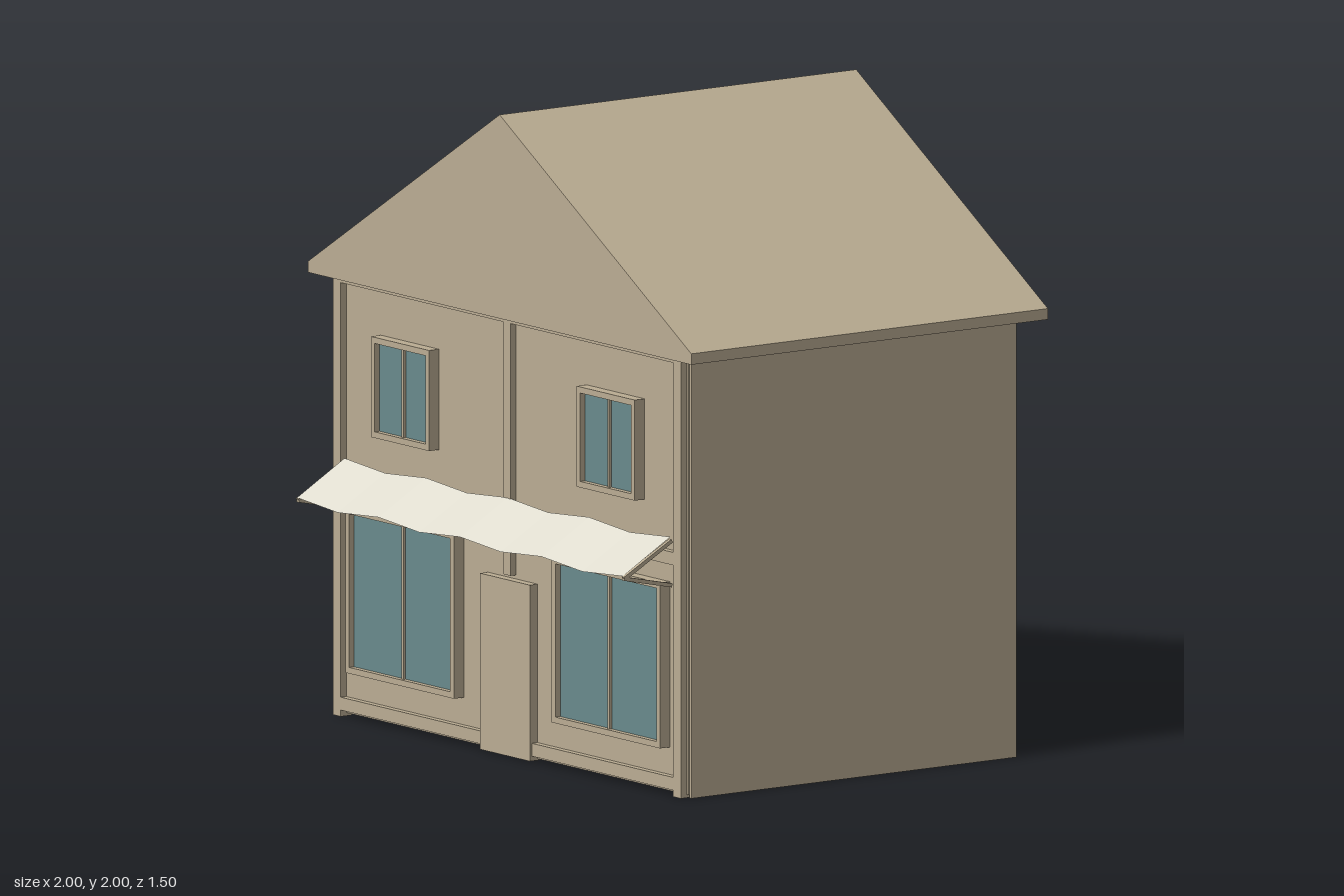
import * as THREE from 'three';

export function createModel() {
  const house = new THREE.Group();
  house.name = 'house';
  const plaster = new THREE.MeshStandardMaterial({ color: 0xbcae94 });
  plaster.name = 'tan plaster';
  const glass = new THREE.MeshStandardMaterial({ color: 0x6a8b8d });
  glass.name = 'blue glass';
  const cloth = new THREE.MeshStandardMaterial({ color: 0xdedbce, side: THREE.DoubleSide, flatShading: true });
  cloth.name = 'awning cloth';

  // Box given by its lower and upper limits on each axis
  function box(name, x0, x1, y0, y1, z0, z1, material = plaster, parent = house) {
    const mesh = new THREE.Mesh(new THREE.BoxGeometry(x1 - x0, y1 - y0, z1 - z0), material);
    mesh.position.set((x0 + x1) / 2, (y0 + y1) / 2, (z0 + z1) / 2);
    mesh.name = name;
    parent.add(mesh);
    return mesh;
  }

  // Thin walls around a room that is open below
  const W = 0.925, EAVE = 1.366;
  box('backWall', -W, W, 0, EAVE, -0.685, -0.675);
  box('frontWall', -W + 0.01, W - 0.01, 0.01, EAVE, 0.54, 0.55);
  box('leftWall', W - 0.01, W, 0, EAVE, -0.675, 0.545);
  box('rightWall', -W, -W + 0.01, 0, EAVE, -0.675, 0.545);

  // Gable roof with a low upright eave
  const gable = new THREE.Shape();
  gable.moveTo(-1, EAVE);
  gable.lineTo(1, EAVE);
  gable.lineTo(1, 1.4);
  gable.lineTo(0, 2);
  gable.lineTo(-1, 1.4);
  const roof = new THREE.Mesh(new THREE.ExtrudeGeometry(gable, { depth: 1.35, bevelEnabled: false }), plaster);
  roof.position.z = -0.75;
  roof.name = 'roof';
  house.add(roof);

  // Timber frame on the front, reaching slightly through the wall
  const Z0 = 0.53, Z1 = 0.572;
  box('topBeam', -0.867, 0.867, 1.35, EAVE, Z0, Z1);
  box('middleBeam', -0.867, 0.867, 0.72, 0.76, Z0, Z1);
  box('centrePost', -0.018, 0.018, 0.565, 1.35, Z0, Z1);

  // Window with two recessed panes, framed by a border and a mullion
  function windowUnit(name, x0, x1, y0, y1) {
    const g = new THREE.Group();
    g.name = name;
    const t = 0.019, mid = (x0 + x1) / 2, zf = 0.588;
    box('frameBottom', x0, x1, y0, y0 + t, 0.545, zf, plaster, g);
    box('frameTop', x0, x1, y1 - t, y1, 0.545, zf, plaster, g);
    box('frameSide', x0, x0 + t, y0 + t, y1 - t, 0.545, zf, plaster, g);
    box('frameSide', x1 - t, x1, y0 + t, y1 - t, 0.545, zf, plaster, g);
    box('mullion', mid - 0.005, mid + 0.005, y0 + t, y1 - t, 0.545, 0.578, plaster, g);
    box('pane', x0 + t, x1 - t, y0 + t, y1 - t, 0.561, 0.569, glass, g);
    house.add(g);
  }

  for (const s of [-1, 1]) {
    const span = (a, b) => (s > 0 ? [a, b] : [-b, -a]);
    box('cornerPost', ...span(0.867, 0.907), 0, EAVE, Z0, Z1);
    box('bottomBeam', ...span(0.13, 0.867), 0.02, 0.06, Z0, Z1);
    windowUnit('upperWindow', ...span(0.385, 0.688), 0.897, 1.21);
    windowUnit('shopWindow', ...span(0.255, 0.82), 0.145, 0.66);
  }

  box('door', -0.13, 0.13, 0.005, 0.553, 0.54, 0.58);

  // Folded awning whose top and front edges rise and dip in turn
  const awningGeometry = new THREE.PlaneGeometry(1.7, 1, 8, 1);
  const p = awningGeometry.attributes.position;
  for (let i = 0; i < p.count; i++) {
    const dip = (i % 9) % 2 ? 0.016 : 0;
    const atWall = i < 9;
    p.setY(i, (atWall ? 0.806 : 0.702) - dip);
    p.setZ(i, atWall ? 0.57 : 0.75);
  }
  awningGeometry.computeVertexNormals();
  const awning = new THREE.Mesh(awningGeometry, cloth);
  awning.name = 'awning';
  house.add(awning);

  // Awning arms: one under the cloth and one strut below it on each side
  function arm(name, x, yWall, yTip) {
    const dz = 0.18, dy = yTip - yWall;
    const mesh = new THREE.Mesh(new THREE.BoxGeometry(0.012, 0.012, Math.hypot(dz, dy)), plaster);
    mesh.position.set(x, (yWall + yTip) / 2, 0.657);
    mesh.rotation.x = -Math.atan2(dy, dz);
    mesh.name = name;
    house.add(mesh);
  }
  for (const x of [-0.849, 0.849]) {
    arm('awningArm', x, 0.794, 0.694);
    arm('awningStrut', x, 0.655, 0.694);
  }
  return house;
}
